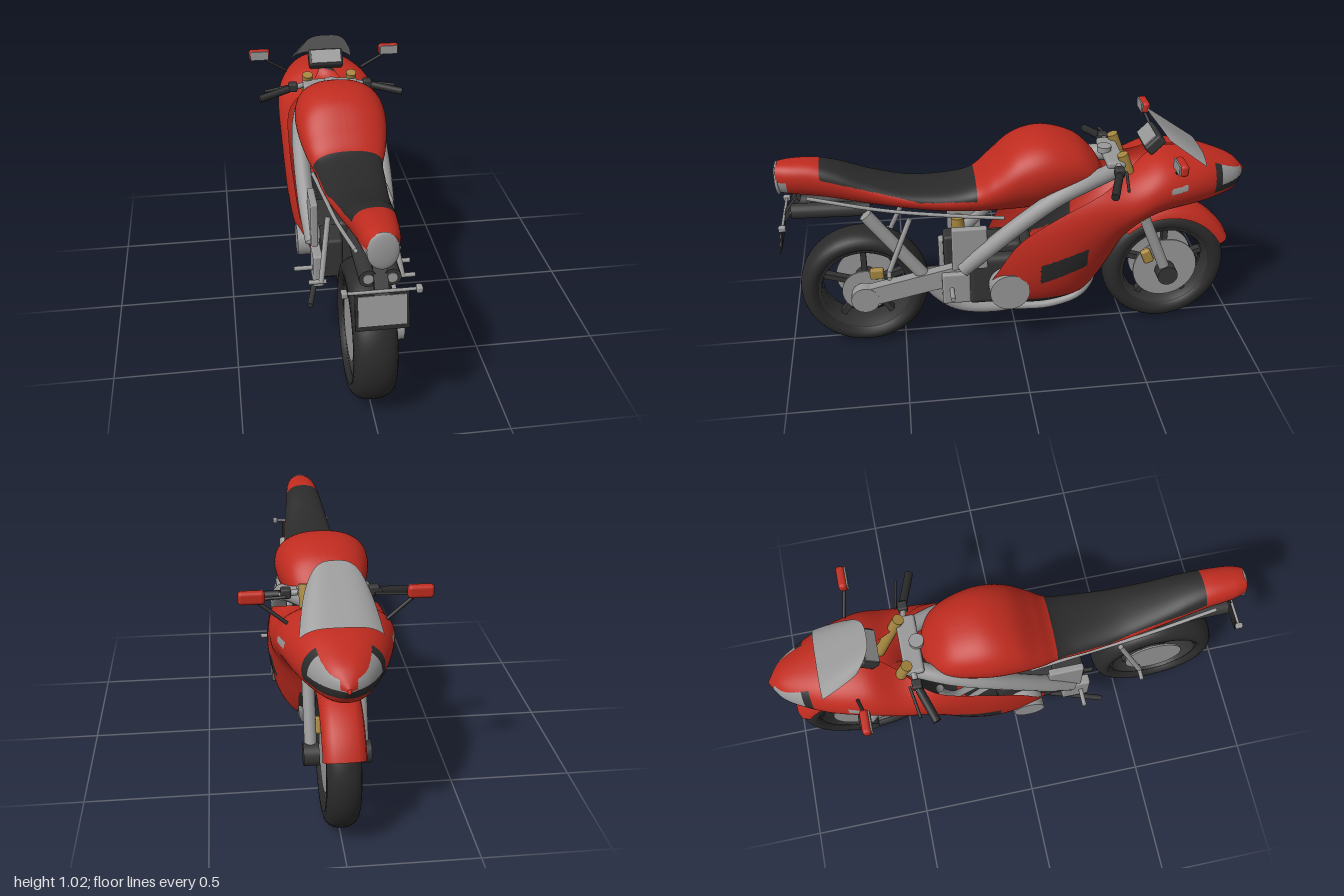
import * as THREE from 'three';
import { RoundedBoxGeometry } from 'three/addons/geometries/RoundedBoxGeometry.js';

const mat = (name, color) => new THREE.MeshStandardMaterial({ name, color, side: THREE.DoubleSide });
const V = (a) => new THREE.Vector3(...a);
const flip = (p, s) => [p[0] * s, p[1], p[2]];

// Smooth interpolation through rows of numbers, t in 0..1
function sample(rows, t) {
  const f = t * (rows.length - 1), i = Math.min(Math.floor(f), rows.length - 2), u = f - i;
  const at = (k) => rows[Math.max(0, Math.min(rows.length - 1, k))];
  return rows[0].map((_, c) => {
    const [a, b, d, e] = [at(i - 1)[c], at(i)[c], at(i + 1)[c], at(i + 2)[c]];
    return b + 0.5 * u * (d - a + u * (2 * a - 5 * b + 4 * d - e + u * (3 * (b - d) + e - a)));
  });
}

// Loft of oval sections: [zTop, yTop, zBottom, yBottom, halfWidth, opening at top]
// pick(x, y, z) gives the material index of each face
function loft(rows, skew, pick, nu, nv) {
  const pos = [], faces = [];
  for (let i = 0; i <= nu; i++) {
    const [zt, yt, zb, yb, w, rawOpen] = sample(rows, i / nu);
    const open = Math.max(0, rawOpen);
    for (let j = 0; j <= nv; j++) {
      const th = open + (j / nv) * (2 * Math.PI - 2 * open), c = Math.cos(th), s = Math.sin(th);
      const k = (c + 1) / (Math.cos(open) + 1);
      pos.push(Math.sign(s) * Math.abs(s) ** 0.85 * w * (1 + skew * c), yb + (yt - yb) * k, zb + (zt - zb) * k);
    }
  }
  const add = (...t) => {
    const m = [0, 1, 2].map((c) => t.reduce((s, v) => s + pos[v * 3 + c], 0) / 3);
    (faces[pick(...m)] ??= []).push(...t);
  };
  for (let i = 0; i < nu; i++) for (let j = 0; j < nv; j++) {
    const a = i * (nv + 1) + j, b = a + nv + 1;
    add(a, a + 1, b); add(b, a + 1, b + 1);
  }
  const g = new THREE.BufferGeometry();
  g.setAttribute('position', new THREE.Float32BufferAttribute(pos, 3));
  const index = [];
  faces.forEach((f, m) => { g.addGroup(index.length, f.length, m); for (const v of f) index.push(v); });
  g.setIndex(index);
  g.computeVertexNormals();
  return g;
}

export function createModel() {
  const model = new THREE.Group();
  model.name = 'motorcycle';
  const red = mat('red paint', 0xbf2b1f), black = mat('black rubber', 0x2a2a2a), dark = mat('dark metal', 0x353535),
    grey = mat('light metal', 0x989898), gold = mat('gold metal', 0xa5853f);
  const paint = [red, black, grey];
  const add = (name, geo, m, p = [0, 0, 0], parent = model) => {
    const mesh = new THREE.Mesh(geo, m);
    mesh.name = name; mesh.position.set(...p); parent.add(mesh);
    return mesh;
  };
  const box = (name, m, p, s, r = 0) => add(name, r ? new RoundedBoxGeometry(...s, 3, r) : new THREE.BoxGeometry(...s), m, p);
  const rod = (name, m, a, b, r) => {
    const d = V(b).sub(V(a)), mesh = add(name, new THREE.CylinderGeometry(r, r, d.length(), 20), m);
    mesh.position.copy(V(a)).addScaledVector(d, 0.5);
    mesh.quaternion.setFromUnitVectors(new THREE.Vector3(0, 1, 0), d.normalize());
    return mesh;
  };
  const beam = (name, m, a, b, w, h) => {
    const mesh = add(name, new THREE.BoxGeometry(w, h, V(a).distanceTo(V(b))), m);
    mesh.position.copy(V(a)).lerp(V(b), 0.5);
    mesh.lookAt(V(b));
    return mesh;
  };
  const tube = (name, m, pts, r) => add(name, new THREE.TubeGeometry(new THREE.CatmullRomCurve3(pts.map(V)), 40, r, 14), m);
  const disc = (name, m, p, r, w, parent) => add(name, new THREE.CylinderGeometry(r, r, w, 40).rotateZ(Math.PI / 2), m, p, parent);
  const ring = (pts, ...arc) => new THREE.LatheGeometry(pts.map(([r, x]) => new THREE.Vector2(r, x)), 64, ...arc).rotateZ(Math.PI / 2);

  // Fairing: nose bending down into the belly, open towards the rider
  add('fairing', loft([
    [-1, 0.745, -1, 0.725, 0.006, 0], [-0.945, 0.80, -0.95, 0.665, 0.08, 0], [-0.85, 0.84, -0.85, 0.635, 0.14, 0],
    [-0.75, 0.865, -0.74, 0.62, 0.185, 0], [-0.6, 0.875, -0.62, 0.605, 0.22, 0.05], [-0.48, 0.82, -0.53, 0.57, 0.232, 0.3],
    [-0.33, 0.755, -0.47, 0.5, 0.235, 0.95], [-0.15, 0.665, -0.43, 0.41, 0.235, 1.1], [0, 0.56, -0.38, 0.31, 0.23, 1.1],
    [0.09, 0.42, -0.31, 0.22, 0.21, 1.1], [0.13, 0.31, -0.2, 0.18, 0.17, 1], [0.1, 0.23, -0.08, 0.165, 0.11, 0.8],
  ], 0, (x, y, z) => {
    const ax = Math.abs(x), top = 0.825 - (-0.83 - z) * 0.4;
    if (z < -0.835 && y < top && y > 0.7 && (ax > 0.03 || y < 0.735)) return z < -0.868 && y > 0.732 ? 2 : 1; // headlights
    if (z > -0.285 && z < -0.085 && ax > 0.1 && Math.abs(y - 0.4 + (z + 0.085) * 0.34) < 0.049) return 1; // side vents
    if (z > -0.7 && z < -0.625 && Math.abs(y - 0.762 - (z + 0.66) * -0.1) < 0.013) return 2; // side indicators
    if (z < -0.25 && y < 0.4 && ax < 0.12) return 1; // opening behind the front wheel
    return y < 0.245 + Math.max(0, z + 0.02) * 0.3 && z > -0.22 ? 1 : 0; // belly
  }, 200, 160), paint);

  // Tank, seat and tail
  const bodyRows = [[-0.37, 0.8, 0.73, 0.03], [-0.33, 0.865, 0.7, 0.115], [-0.25, 0.935, 0.68, 0.16], [-0.12, 0.97, 0.65, 0.187],
    [0, 0.94, 0.64, 0.185], [0.1, 0.855, 0.64, 0.165], [0.18, 0.79, 0.64, 0.14], [0.3, 0.768, 0.65, 0.13],
    [0.45, 0.775, 0.67, 0.115], [0.6, 0.82, 0.695, 0.1], [0.72, 0.87, 0.72, 0.089], [0.82, 0.897, 0.74, 0.078],
    [0.92, 0.9, 0.755, 0.068], [0.975, 0.893, 0.765, 0.052]];
  add('tankSeatAndTail', loft(bodyRows.map(([z, t, b, w]) => [z, t, z, b, w, 0]), 0.15, (x, y, z) => {
    if (z > 0.17 && z < 0.8 && y > 0.73 + Math.max(0, z - 0.4) * 0.28) return 1;
    return z > 0.935 && y < 0.83 ? 2 : 0;
  }, 130, 96), paint);
  add('tailLight', new THREE.SphereGeometry(1, 32, 16), grey, [0, 0.825, 0.972]).scale.set(0.056, 0.073, 0.015);

  // Windscreen: a curved plate narrowing upwards, with a rounded top
  const screen = new THREE.PlaneGeometry(2, 1, 20, 20), sp = screen.attributes.position;
  for (let i = 0; i < sp.count; i++) {
    const u = sp.getX(i), v = sp.getY(i) + 0.5, h = v * (1 - 0.3 * v * Math.abs(u) ** 3);
    sp.setXYZ(i, u * (0.15 - 0.035 * v), 0.868 + 0.162 * h - 0.035 * u ** 4, -0.785 + 0.225 * h);
  }
  screen.computeVertexNormals();
  add('windscreen', screen, grey);

  // Wheels, with a brake disc radius for each side
  const wheel = (name, z, half, discLeft, discRight) => {
    const g = new THREE.Group();
    g.name = name; g.position.set(0, 0.283, z); model.add(g);
    const arc = Array.from({ length: 17 }, (_, i) => {
      const a = -Math.PI / 2 + (i / 16) * Math.PI;
      return [0.215 + 0.063 * Math.cos(a) ** 0.7, half * Math.sin(a)];
    });
    const h = half * 0.75;
    add('tyre', ring([[0.2, -h], ...arc, [0.2, h], [0.2, -h]]), black, [0, 0, 0], g);
    add('rim', ring([[0.205, -h], [0.205, h], [0.19, h], [0.18, 0], [0.19, -h], [0.205, -h]]), dark, [0, 0, 0], g);
    disc('hub', dark, [0, 0, 0], 0.045, half * 1.6, g);
    for (let i = 0; i < 5; i++) {
      const s = add('spoke', new THREE.BoxGeometry(0.035, 0.16, 0.024).translate(0, 0.11, 0), dark, [0, 0, 0], g);
      s.rotation.x = (i * Math.PI) / 2.5;
    }
    disc('leftBrakeDisc', grey, [half * 0.78, 0, 0], discLeft, 0.008, g);
    disc('rightBrakeDisc', grey, [-half * 0.78, 0, 0], discRight, 0.008, g);
  };
  wheel('frontWheel', -0.675, 0.065, 0.145, 0.145);
  wheel('rearWheel', 0.66, 0.083, 0.1, 0.13);

  // Front mudguard: arc around the wheel
  add('frontMudguard', ring([[0.268, -0.08], [0.3, -0.072], [0.315, -0.045], [0.32, 0], [0.315, 0.045], [0.3, 0.072], [0.268, 0.08]],
    0.85, 1.83), red, [0, 0.283, -0.67]);

  // Engine and exhaust
  box('engineBlock', dark, [0, 0.33, 0.07], [0.27, 0.24, 0.3], 0.03);
  box('cylinderBlock', dark, [0.02, 0.45, 0.1], [0.14, 0.08, 0.24], 0.02);
  box('gearbox', dark, [-0.085, 0.37, 0.24], [0.09, 0.18, 0.14], 0.015);
  [-0.1, -0.035, 0.035, 0.1].forEach((x) => tube('exhaustHeader', grey,
    [[x, 0.34, -0.33], [x, 0.27, -0.315], [x * 0.9, 0.2, -0.265], [x * 0.6 + 0.03, 0.16, -0.14], [x * 0.3 + 0.05, 0.155, 0.02]], 0.018));
  tube('exhaustPipe', grey, [[0.05, 0.16, -0.05], [0.08, 0.16, 0.1], [0.1, 0.2, 0.26], [0.11, 0.29, 0.36], [0.11, 0.39, 0.42]], 0.026);
  rod('exhaustRiser', grey, [0.1, 0.68, 0.63], [0.11, 0.38, 0.41], 0.028);

  // Paired parts on both sides
  for (const s of [-1, 1]) {
    const f = (...p) => flip(p, s);
    const pair = (name, m, a, b, r) => rod(name, m, flip(a, s), flip(b, s), r);
    // Frame
    tube('frameTube', grey, [f(0.08, 0.815, -0.43), f(0.14, 0.785, -0.28), f(0.165, 0.74, -0.16), f(0.172, 0.645, -0.02),
      f(0.168, 0.52, 0.13), f(0.155, 0.42, 0.24)], 0.036);
    box('frameUpright', grey, f(0.155, 0.52, 0.21), [0.03, 0.2, 0.15], 0.008);
    box('pivotPlate', grey, f(0.145, 0.325, 0.27), [0.045, 0.15, 0.12], 0.01);
    disc('engineCover', grey, f(0.17, 0.315, 0.045), s > 0 ? 0.085 : 0.068, 0.08);
    tube('subframeRail', grey, [f(0.075, 0.76, 0.86), f(0.1, 0.695, 0.55), f(0.12, 0.658, 0.25), f(0.135, 0.643, 0.06)], 0.008);
    // Silencers under the tail
    pair('silencer', dark, [0.042, 0.68, 0.61], [0.042, 0.688, 0.93], 0.032);
    pair('silencerOutlet', grey, [0.042, 0.687, 0.9], [0.042, 0.688, 0.934], 0.019);
    // Footrests
    pair('footrest', grey, [0.14, 0.325, 0.29], [0.245, 0.325, 0.29], 0.01);
    pair('passengerFootrest', grey, [0.14, 0.43, 0.55], [0.21, 0.43, 0.55], 0.009);
    pair('footrestHanger', grey, [0.12, 0.66, 0.45], [0.16, 0.43, 0.55], 0.011);
    // Fork
    pair('forkLower', grey, [0.1, 0.285, -0.67], [0.1, 0.58, -0.55], 0.024);
    pair('forkUpper', gold, [0.1, 0.56, -0.558], [0.1, 0.89, -0.435], 0.023);
    disc('forkFoot', dark, f(0.1, 0.285, -0.67), 0.045, 0.06);
    box('frontCaliper', gold, f(0.067, 0.36, -0.585), [0.03, 0.07, 0.045], 0.012).rotation.x = 0.4;
    // Handlebars
    pair('handlebar', grey, [0.09, 0.855, -0.42], [0.2, 0.835, -0.405], 0.012);
    pair('grip', black, [0.19, 0.837, -0.405], [0.325, 0.815, -0.36], 0.017);
    pair('lever', dark, [0.17, 0.84, -0.44], [0.3, 0.825, -0.42], 0.006);
    box('switchgear', dark, f(0.17, 0.845, -0.41), [0.04, 0.04, 0.04], 0.008);
    // Mirrors
    pair('mirrorStalk', black, [0.18, 0.83, -0.65], [0.285, 0.905, -0.62], 0.007);
    box('mirrorHousing', red, f(0.306, 0.925, -0.625), [0.097, 0.05, 0.035], 0.014);
    box('mirrorGlass', grey, f(0.306, 0.925, -0.606), [0.082, 0.04, 0.006]);
    // Rear indicators
    pair('indicatorStalk', grey, [0, 0.658, 0.965], [0.13, 0.658, 0.965], 0.006);
    box('indicator', grey, f(0.13, 0.658, 0.965), [0.022, 0.024, 0.03], 0.006);
  }

  // Single-sided swingarm and rear brake
  beam('swingarm', grey, [0.125, 0.385, 0.24], [0.115, 0.285, 0.67], 0.045, 0.085);
  disc('rearAxle', grey, [0.115, 0.28, 0.66], 0.06, 0.05);
  box('rearCaliper', gold, [0.062, 0.365, 0.605], [0.03, 0.05, 0.06], 0.01);

  // Cockpit
  box('forkClamp', grey, [0, 0.85, -0.41], [0.25, 0.03, 0.08], 0.012);
  add('steeringNut', new THREE.CylinderGeometry(0.03, 0.03, 0.025, 24), grey, [0, 0.872, -0.38]);
  box('instrumentHousing', dark, [0, 0.908, -0.58], [0.16, 0.085, 0.05], 0.012).rotation.x = -0.8;
  box('instrumentFace', grey, [0, 0.926, -0.56], [0.135, 0.065, 0.008]).rotation.x = -0.8;

  // Shock absorber, linkage and side stand
  rod('rearShock', gold, [0.05, 0.44, 0.245], [0.05, 0.615, 0.25], 0.028);
  rod('shockLinkage', dark, [-0.05, 0.24, 0.2], [-0.05, 0.225, 0.38], 0.01);
  rod('sideStand', dark, [-0.13, 0.25, 0.16], [-0.19, 0.205, 0.39], 0.012);

  // Number plate and its bracket
  beam('plateBracket', dark, [0, 0.73, 0.9], [0, 0.64, 0.967], 0.05, 0.02);
  box('plateBacking', black, [0, 0.588, 0.978], [0.19, 0.145, 0.008]).rotation.x = -0.18;
  box('plateFace', grey, [0, 0.591, 0.982], [0.168, 0.112, 0.006]).rotation.x = -0.18;
  return model;
}
